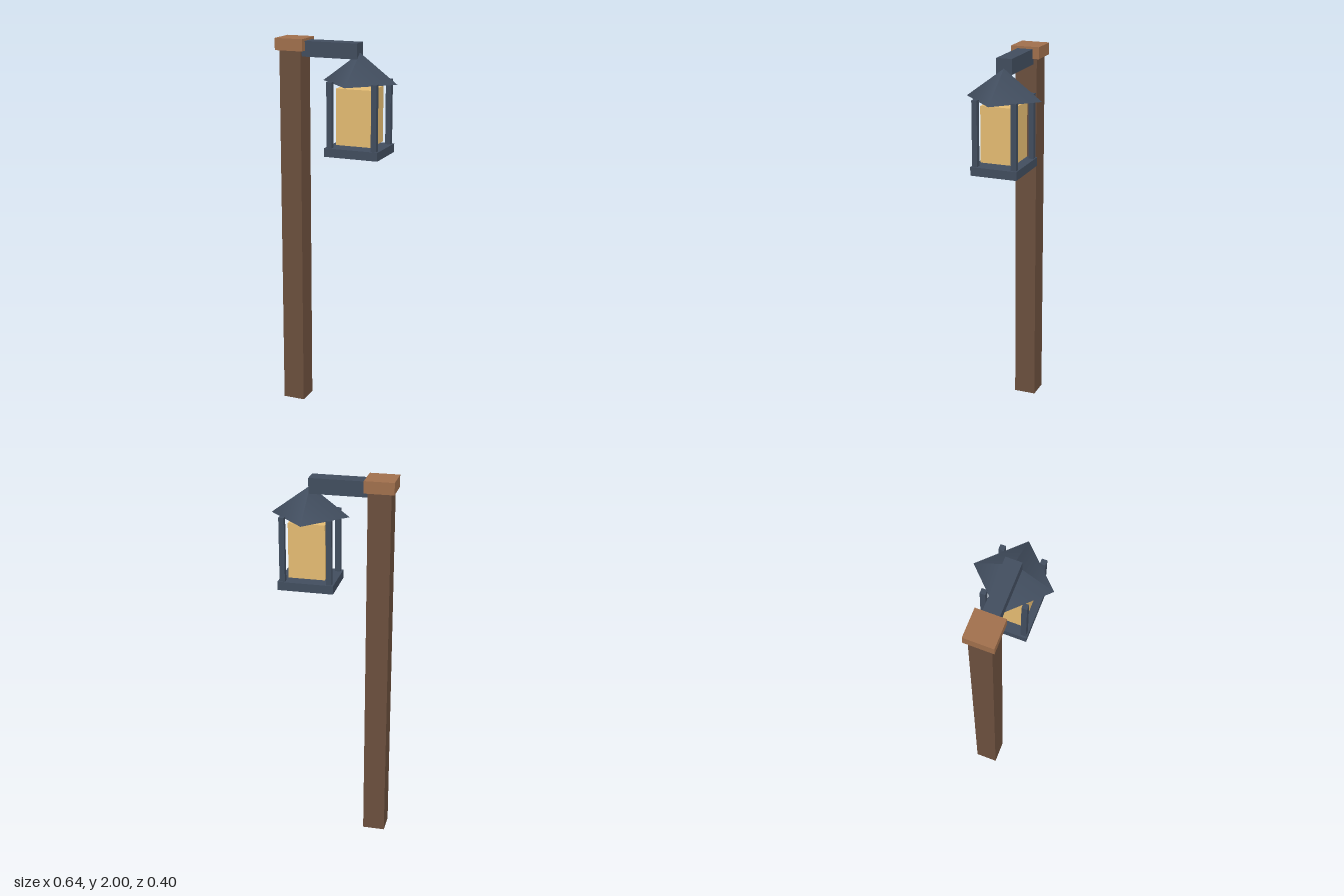
import * as THREE from 'three';

const material = (color) => new THREE.MeshStandardMaterial({ color });

export function createModel() {
  const model = new THREE.Group();
  model.name = 'lampPost';
  const wood = material(0x6b4f3d);
  const capWood = material(0xa06f4c);
  const metal = material(0x414d5e);
  const glow = material(0xe4bb72);

  const add = (name, geometry, mat, x, y, z, parent) => {
    const mesh = new THREE.Mesh(geometry, mat);
    mesh.name = name;
    mesh.position.set(x, y, z);
    parent.add(mesh);
    return mesh;
  };
  // Box given by its bottom and top heights
  const box = (name, mat, w, d, y0, y1, x, z, parent = model) =>
    add(name, new THREE.BoxGeometry(w, y1 - y0, d), mat, x, (y0 + y1) / 2, z, parent);

  // Wooden post, its cap and the bracket arm
  const postX = -0.244;
  box('post', wood, 0.118, 0.118, 0, 1.945, postX, 0);
  box('postCap', capWood, 0.153, 0.153, 1.938, 2, postX, 0);
  box('arm', metal, 0.362, 0.083, 1.908, 1.988, -0.063, 0);

  // Hanging lantern
  const lantern = new THREE.Group();
  lantern.name = 'lantern';
  lantern.position.x = 0.119;
  model.add(lantern);

  box('lanternBase', metal, 0.29, 0.248, 1.415, 1.46, 0, 0, lantern);
  box('lanternGlass', glow, 0.19, 0.176, 1.474, 1.764, 0, 0, lantern);
  for (const sx of [-1, 1]) {
    for (const sz of [-1, 1]) {
      box('lanternUpright', metal, 0.028, 0.028, 1.455, 1.798, sx * 0.121, sz * 0.104, lantern);
    }
  }

  // Four-sided roof, turned so its corners point along x and z
  add('lanternRoof', new THREE.ConeGeometry(0.202, 0.15, 4), metal, 0, 1.863, 0, lantern);

  return model;
}
